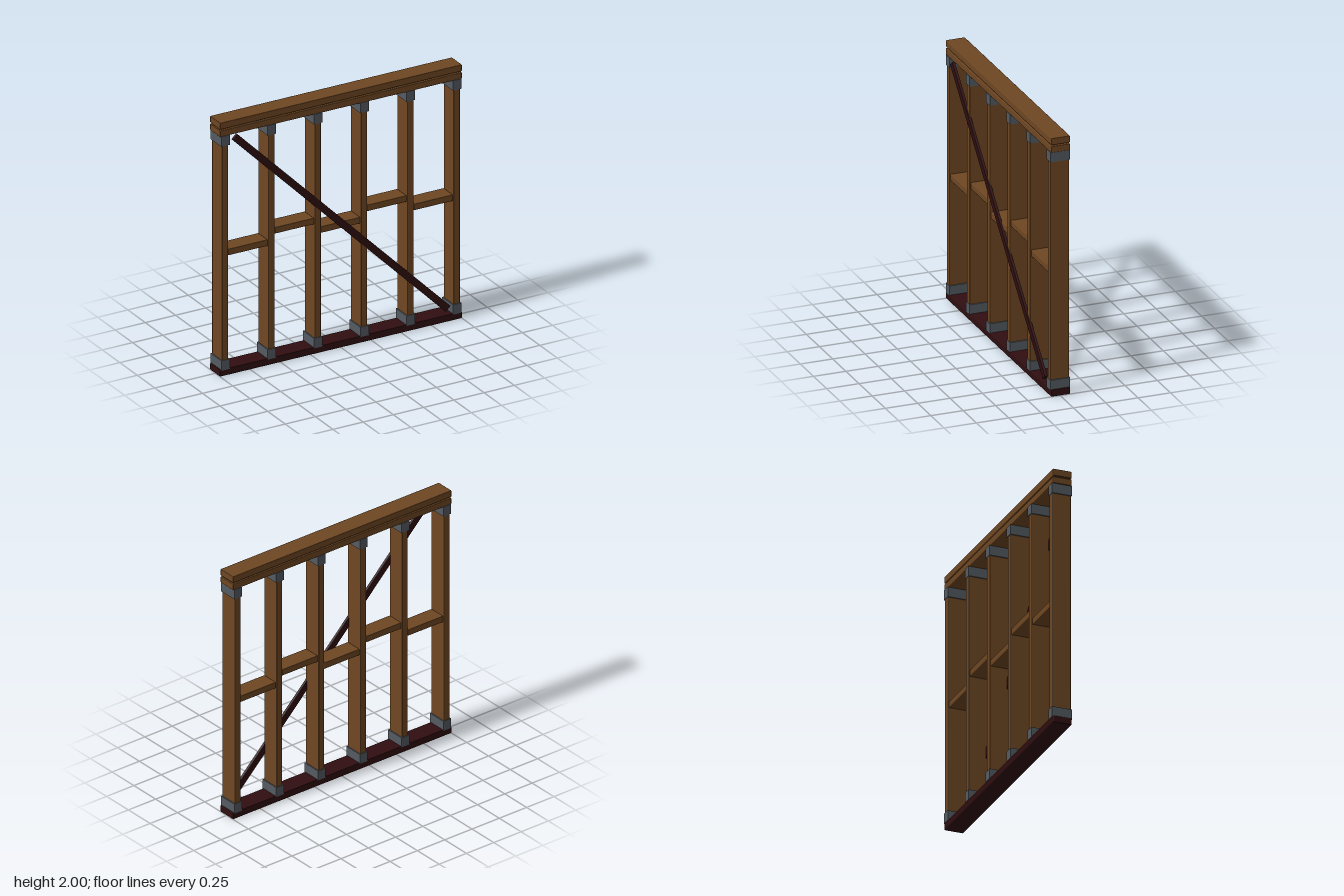
import * as THREE from 'three';
import { RoundedBoxGeometry } from 'three/addons/geometries/RoundedBoxGeometry.js';

const wood = new THREE.MeshStandardMaterial({ color: 0x6f4722 });
wood.name = 'timber';
const treated = new THREE.MeshStandardMaterial({ color: 0x300e10 });
treated.name = 'dark treated timber';
const steel = new THREE.MeshStandardMaterial({ color: 0x545b62 });
steel.name = 'grey steel';

const DEPTH = 0.146;      // timber depth
const Z = -0.003;         // frame centre line
const SPACING = 0.383;    // stud spacing
const STUD_W = 0.052;

export function createModel() {
  const model = new THREE.Group();
  model.name = 'timberWallFrame';

  function add(name, geometry, material, x, y, z = Z) {
    const mesh = new THREE.Mesh(geometry, material);
    mesh.name = name;
    mesh.position.set(x, y, z);
    model.add(mesh);
    return mesh;
  }
  // Timber with slightly eased edges
  const timber = (w, h, d) => new RoundedBoxGeometry(w, h, d, 1, 0.005);

  // Horizontal plates
  add('bottomPlate', timber(2, 0.053, DEPTH), treated, 0, 0.0265);
  add('lowerTopPlate', timber(2, 0.051, DEPTH), wood, 0, 1.9135);
  add('upperTopPlate', timber(2, 0.053, DEPTH), wood, 0, 1.9735);

  // Studs with a steel connector at each end
  const studGeometry = timber(STUD_W, 1.84, DEPTH);
  const connectorGeometry = new THREE.BoxGeometry(0.07, 0.078, 0.154);
  for (let i = 0; i < 6; i++) {
    const x = (i - 2.5) * SPACING;
    add('stud', studGeometry, wood, x, 0.972);
    add('bottomConnector', connectorGeometry, steel, x, 0.086);
    add('topConnector', connectorGeometry, steel, x, 1.852);
  }

  // Staggered blocking between studs
  const blockGeometry = timber(0.326, 0.05, 0.135);
  for (let i = 0; i < 5; i++) {
    add('blocking', blockGeometry, wood, (i - 2) * SPACING, i % 2 ? 1.045 : 0.963);
  }

  // Diagonal brace let into the front of the studs
  const brace = add('diagonalBrace', new THREE.BoxGeometry(2.49, 0.054, 0.02), treated, 0, 0.985, 0.068);
  brace.rotation.z = -Math.PI / 4;

  return model;
}
